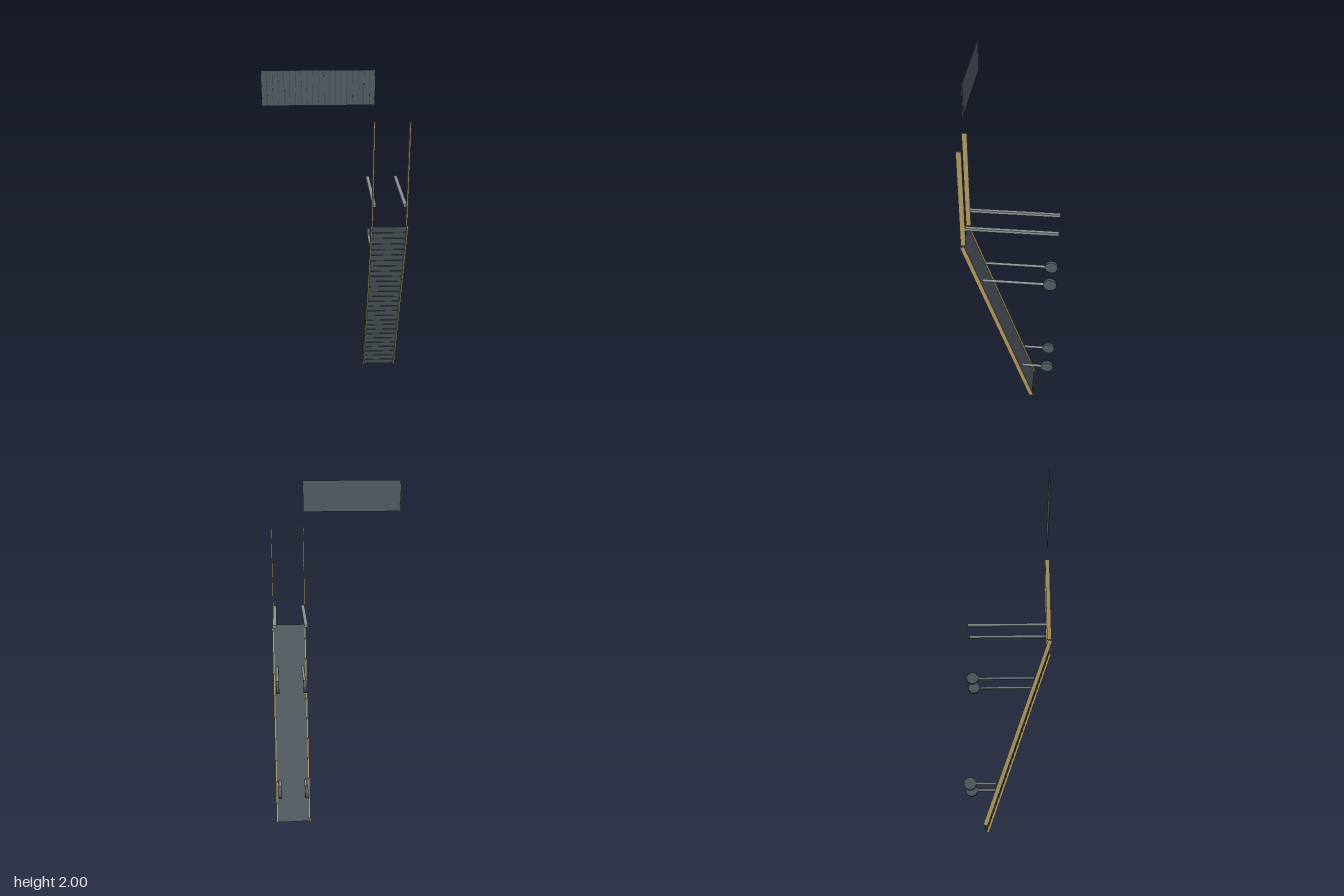
import * as THREE from 'three';

const tan = new THREE.MeshStandardMaterial({ color: 0xb09a62 });
const dark = new THREE.MeshStandardMaterial({ color: 0x525c62 });
const seam = new THREE.MeshStandardMaterial({ color: 0x3a4246 });
const grey = new THREE.MeshStandardMaterial({ color: 0x8a9294 });

const CX = 0.285; // centre line of the ladder board

function box(parent, name, mat, size, pos) {
  const m = new THREE.Mesh(new THREE.BoxGeometry(...size), mat);
  m.name = name;
  m.position.set(...pos);
  parent.add(m);
  return m;
}

export function createModel() {
  const root = new THREE.Group();
  root.name = 'rampAssembly';

  // Leaning board: local y runs along the slope, local z is its front
  const bottom = new THREE.Vector2(-0.135, 0.004), top = new THREE.Vector2(0.252, 1.137);
  const length = bottom.distanceTo(top);
  const board = new THREE.Group();
  board.name = 'leaningBoard';
  board.position.set(CX, (bottom.y + top.y) / 2, (bottom.x + top.x) / 2);
  board.rotation.x = Math.atan2(top.x - bottom.x, top.y - bottom.y);
  root.add(board);
  box(board, 'boardPanel', dark, [0.19, length, 0.003], [0, 0, -0.003]);
  for (const s of [-1, 1]) box(board, 'sideRail', tan, [0.009, length, 0.025], [s * 0.0985, 0, 0]);

  // Thin ribs across the front of the board
  const ribs = 28;
  for (let i = 1; i < ribs; i++) {
    box(board, 'boardRib', seam, [0.188, 0.003, 0.003], [0, (i / ribs - 0.5) * length, 0]);
  }
  box(board, 'shortSlot', seam, [0.08, 0.006, 0.003], [0, (0.85 / 1.137 - 0.5) * length, 0]);

  for (const s of [-1, 1]) {
    // Upright posts with horizontal bars reaching back
    box(root, 'uprightPost', tan, [0.008, 0.58, 0.028], [CX - 0.001 + s * 0.0945, 1.435, 0.246]);
    box(root, 'rearBar', grey, [0.02, 0.016, 0.496], [CX + s * 0.085, 1.253, -0.016]);

    // Round struts ending in wheels
    for (const [y, front] of [[0.895, 0.15], [0.245, -0.075]]) {
      const x = CX + s * 0.077, back = -0.226;
      const strut = new THREE.Mesh(new THREE.CylinderGeometry(0.008, 0.008, front - back, 16), grey);
      strut.name = 'strut';
      strut.rotation.x = Math.PI / 2;
      strut.position.set(x, y, (front + back) / 2);
      const wheel = new THREE.Mesh(new THREE.CylinderGeometry(0.036, 0.036, 0.018, 32), dark);
      wheel.name = 'wheel';
      wheel.rotation.z = Math.PI / 2;
      wheel.position.set(x, y, back);
      root.add(strut, wheel);
    }
  }

  // Slatted sign panel above, with upright ribs on its front
  const panel = new THREE.Group();
  panel.name = 'upperPanel';
  panel.position.set(-0.1, 1.907, 0.249);
  root.add(panel);
  box(panel, 'panelSheet', dark, [0.58, 0.18, 0.002], [0, 0, 0]);
  for (let i = 1; i < 20; i++) {
    box(panel, 'panelRib', seam, [0.002, 0.178, 0.002], [(i / 20 - 0.5) * 0.58, 0, 0.0012]);
  }
  for (const s of [-1, 1]) box(panel, 'panelEdge', dark, [0.004, 0.186, 0.006], [s * 0.288, 0, 0]);

  return root;
}
